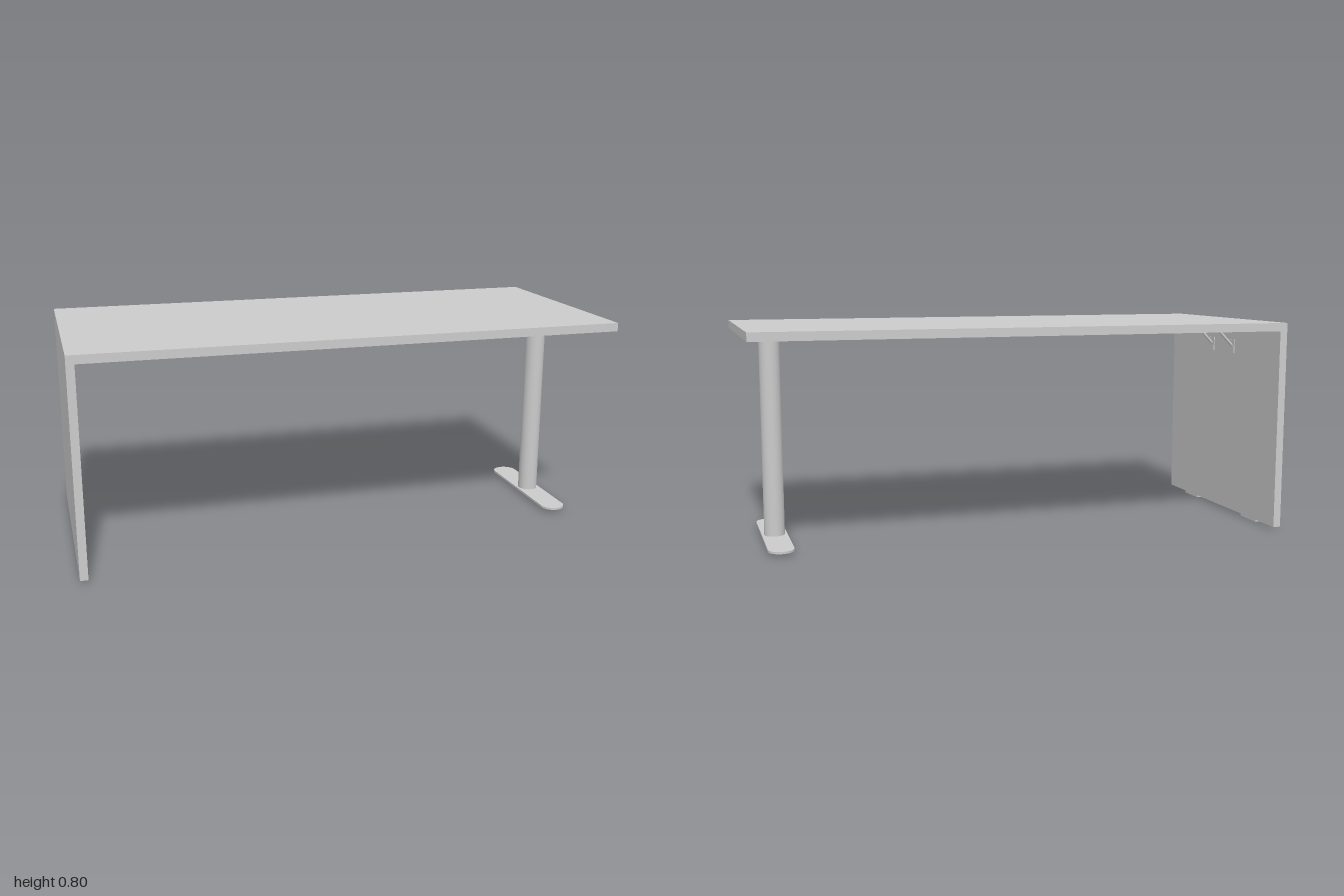
import * as THREE from 'three';

const material = new THREE.MeshStandardMaterial({ color: 0xcccccc });

export function createModel() {
  const model = new THREE.Group();

  const add = (name, geometry, x, y, z, parent = model) => {
    const mesh = new THREE.Mesh(geometry, material);
    mesh.name = name;
    mesh.position.set(x, y, z);
    parent.add(mesh);
    return mesh;
  };
  const box = (name, w, h, d, x, y, z, parent) =>
    add(name, new THREE.BoxGeometry(w, h, d), x, y, z, parent);

  // Flat slab with round ends, long axis along z, resting on its local y = 0
  const roundEndedSlab = (halfLength, radius, height) => {
    const s = halfLength - radius;
    const shape = new THREE.Shape();
    shape.absarc(0, s, radius, 0, Math.PI, false);
    shape.absarc(0, -s, radius, Math.PI, Math.PI * 2, false);
    shape.closePath();
    return new THREE.ExtrudeGeometry(shape, { depth: height, bevelEnabled: false, curveSegments: 20 })
      .rotateX(-Math.PI / 2);
  };

  // Top and the full-depth side panel
  box('tableTop', 2, 0.031, 0.874, 0, 0.7835, 0);
  box('sidePanel', 0.029, 0.758, 0.874, -0.9855, 0.389, 0);

  // Column leg with its mounting plate and foot
  const leg = new THREE.Group();
  leg.name = 'columnLeg';
  leg.position.x = 0.887;
  model.add(leg);
  box('mountingPlate', 0.19, 0.006, 0.2, 0, 0.765, 0, leg);
  add('column', new THREE.CylinderGeometry(0.038, 0.038, 0.744, 40), 0, 0.39, 0, leg);
  add('footPlate', roundEndedSlab(0.268, 0.047, 0.008), 0, 0.011, 0, leg);
  add('footPad', roundEndedSlab(0.187, 0.033, 0.011), 0, 0, 0, leg);

  for (const side of [-1, 1]) {
    // Floor strips under the side panel
    box('panelGlide', 0.024, 0.01, 0.114, -0.9855, 0.005, side * 0.244);

    // Diagonal brace between panel and top
    const brace = new THREE.Group();
    brace.name = 'cornerBrace';
    brace.position.z = side * 0.083;
    model.add(brace);
    box('panelTab', 0.004, 0.054, 0.034, -0.969, 0.688, 0, brace);
    box('topTab', 0.054, 0.004, 0.034, -0.892, 0.766, 0, brace);
    const a = new THREE.Vector3(-0.969, 0.69, 0);
    const b = new THREE.Vector3(-0.894, 0.765, 0);
    const strut = add('strut', new THREE.CylinderGeometry(0.0055, 0.0055, a.distanceTo(b), 16), 0, 0, 0, brace);
    strut.position.copy(a).lerp(b, 0.5);
    strut.rotation.z = -Math.PI / 4;
  }

  return model;
}
